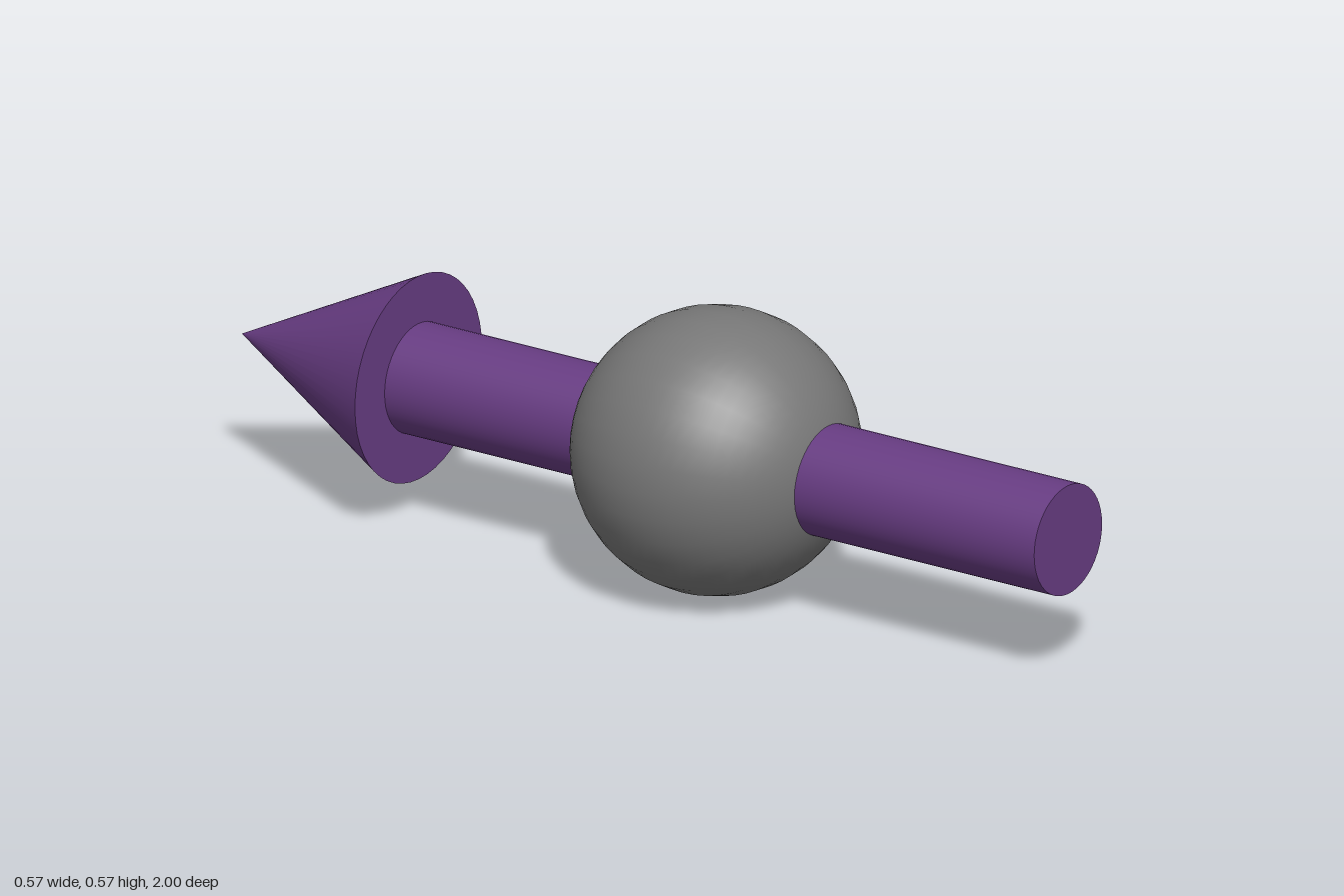
import * as THREE from 'three';

// Turn a y-axis solid so its +y end points from 'from' to 'to', and centre it between them.
function span(mesh, from, to) {
  const dir = new THREE.Vector3().subVectors(to, from).normalize();
  mesh.quaternion.setFromUnitVectors(new THREE.Vector3(0, 1, 0), dir);
  mesh.position.addVectors(from, to).multiplyScalar(0.5);
  return mesh;
}

export function createModel() {
  const group = new THREE.Group();
  const grey = new THREE.MeshStandardMaterial({ color: 0x777777 });
  const purple = new THREE.MeshStandardMaterial({ color: 0x673c82 });

  // The arrow runs slightly off the z axis
  const tail = new THREE.Vector3(0.01, 0.284, 1);
  const neck = new THREE.Vector3(0.005, 0.278, -0.573);
  const tip = new THREE.Vector3(0.003, 0.277, -1);

  const add = (name, mesh) => {
    mesh.name = name;
    group.add(mesh);
  };

  // Ball threaded on the shaft
  const ball = new THREE.Mesh(new THREE.SphereGeometry(0.287, 32, 32).rotateX(Math.PI / 2), grey);
  ball.position.set(0, 0.288, 0.153);
  add('ball', ball);

  // Shaft
  const shaft = new THREE.CylinderGeometry(0.113, 0.113, tail.distanceTo(neck), 48);
  add('shaft', span(new THREE.Mesh(shaft, purple), tail, neck));

  // Arrowhead
  const head = new THREE.ConeGeometry(0.212, neck.distanceTo(tip), 48);
  add('arrowhead', span(new THREE.Mesh(head, purple), neck, tip));

  return group;
}
